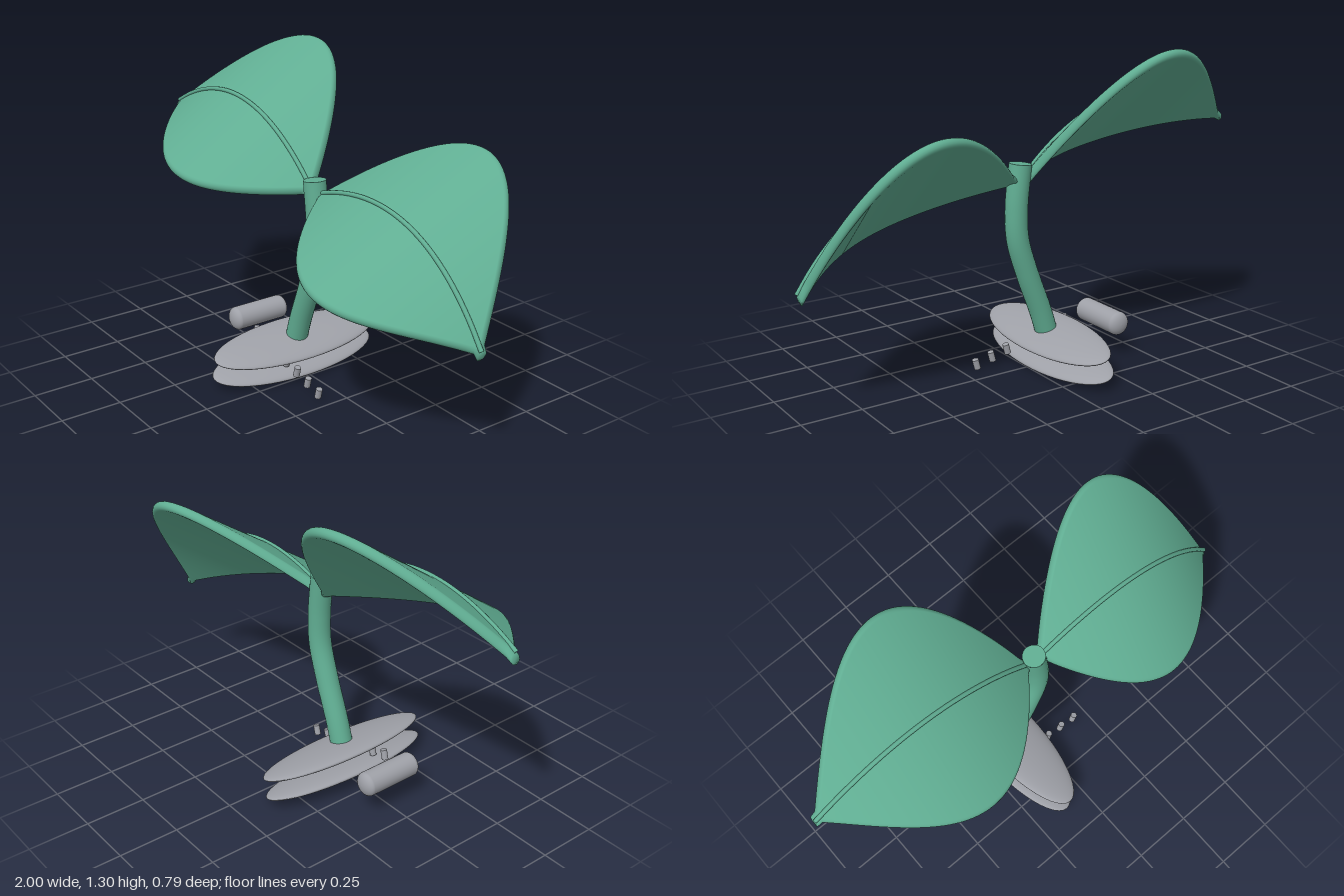
import * as THREE from 'three';

const green = new THREE.MeshStandardMaterial({ color: 0x60ad92 });
green.name = 'leaf green';
const grey = new THREE.MeshStandardMaterial({ color: 0x9fa1a8 });
grey.name = 'stone grey';

const TILT = 0.61, HALF_WIDTH = 0.42, HALF_THICK = 0.02, ARCH = 0.19;
const BASE_TILT = -0.26;

function add(parent, name, geometry, material, x = 0, y = 0, z = 0) {
  const mesh = new THREE.Mesh(geometry, material);
  mesh.name = name;
  mesh.position.set(x, y, z);
  parent.add(mesh);
  return mesh;
}

// Arched blade swept along the line from base to tip, with rounded edges
function makeLeaf(name, base, tip) {
  const group = new THREE.Group();
  group.name = name;
  const chord = tip.clone().sub(base);
  const side = Math.sign(chord.x);
  const up = new THREE.Vector3(-chord.y, chord.x, 0).normalize().multiplyScalar(side);
  const z = new THREE.Vector3(0, 0, 1);
  const across = up.clone().multiplyScalar(Math.sin(TILT)).addScaledVector(z, -Math.cos(TILT));
  const normal = up.clone().multiplyScalar(Math.cos(TILT)).addScaledVector(z, Math.sin(TILT));
  const spine = (s, lift) => base.clone().addScaledVector(chord, s)
    .addScaledVector(up, 4 * ARCH * s * (1 - s) + lift);

  const rows = 48, half = 9, ring = half * 2;
  const points = [], index = [];
  const tri = (a, b, c) => (side > 0 ? index.push(a, b, c) : index.push(a, c, b));
  for (let i = 0; i <= rows; i++) {
    const s = i / rows;
    const w = Math.max(HALF_WIDTH * Math.sin(Math.PI * Math.pow(s, 0.9)) - HALF_THICK, 0.002);
    for (let j = 0; j < ring; j++) {
      const end = j < half ? 1 : -1;
      const a = -Math.PI / 2 + Math.PI * (j % half) / (half - 1);
      const p = spine(s, 0)
        .addScaledVector(across, end * (w + HALF_THICK * Math.cos(a)))
        .addScaledVector(normal, end * HALF_THICK * Math.sin(a));
      points.push(p.x, p.y, p.z - 0.008);
    }
  }
  for (let i = 0; i < rows; i++) {
    for (let j = 0; j < ring; j++) {
      const a = i * ring + j, c = i * ring + (j + 1) % ring;
      tri(a, c, a + ring);
      tri(c, c + ring, a + ring);
    }
  }
  const last = rows * ring;
  for (let j = 1; j < ring - 1; j++) {
    tri(0, j + 1, j);
    tri(last, last + j, last + j + 1);
  }
  const blade = new THREE.BufferGeometry();
  blade.setAttribute('position', new THREE.Float32BufferAttribute(points, 3));
  blade.setIndex(index);
  blade.computeVertexNormals();
  add(group, 'leafBlade', blade, green);

  // Raised midrib
  const path = [];
  for (let i = 0; i <= 12; i++) path.push(spine(i / 12, 0.022));
  const curve = new THREE.CatmullRomCurve3(path);
  add(group, 'midrib', new THREE.TubeGeometry(curve, 48, 0.009, 10), green);
  return group;
}

// Curved stem with flat ends
function makeStem() {
  const group = new THREE.Group();
  group.name = 'stem';
  const curve = new THREE.CatmullRomCurve3([
    [-0.1, 0.13], [-0.065, 0.24], [0.0, 0.41], [0.045, 0.56], [0.05, 0.69], [0.031, 0.865],
  ].map(([x, y]) => new THREE.Vector3(x, y, 0)));
  add(group, 'stemTube', new THREE.TubeGeometry(curve, 40, 0.046, 24), green);
  for (const t of [0, 1]) {
    const p = curve.getPointAt(t), dir = curve.getTangentAt(t).multiplyScalar(t ? 1 : -1);
    const cap = add(group, 'stemEnd', new THREE.CircleGeometry(0.046, 24), green, p.x, p.y, p.z);
    cap.quaternion.setFromUnitVectors(new THREE.Vector3(0, 0, 1), dir);
  }
  return group;
}

export function createModel() {
  const model = new THREE.Group();
  model.name = 'sprout';

  model.add(makeLeaf('rightLeaf', new THREE.Vector3(0.0, 0.805, 0), new THREE.Vector3(-0.997, 0.95, 0)));
  model.add(makeLeaf('leftLeaf', new THREE.Vector3(0.06, 0.8, 0), new THREE.Vector3(0.983, 0.485, 0)));
  model.add(makeStem());

  // Two flattened lens-shaped discs
  for (const [name, x, y] of [['upperDisc', -0.1, 0.135], ['lowerDisc', -0.116, 0.053]]) {
    const disc = add(model, name, new THREE.SphereGeometry(1, 48, 24), grey, x, y, 0);
    disc.scale.set(0.134, 0.028, 0.393);
    disc.rotation.z = BASE_TILT;
  }

  // Row of small pegs running through the discs
  for (let i = 0; i < 7; i++) {
    const peg = add(model, 'peg', new THREE.CylinderGeometry(0.0135, 0.0135, 0.042, 16), grey,
      -0.255 + i * 0.0735, 0.135 - i * 0.0175, 0.093);
    peg.rotation.z = BASE_TILT;
  }

  // Round bar with domed ends, lying front to back
  const profile = [];
  for (const end of [-1, 1]) {
    for (let i = 0; i <= 8; i++) {
      const a = (end < 0 ? 8 - i : i) / 8 * Math.PI / 2;
      profile.push(new THREE.Vector2(i === (end < 0 ? 0 : 8) ? 0 : 0.05 * Math.cos(a), end * (0.108 + 0.029 * Math.sin(a))));
    }
  }
  const bar = add(model, 'bar', new THREE.LatheGeometry(profile, 28), grey, -0.383, 0.15, 0);
  bar.rotation.x = Math.PI / 2;

  return model;
}
